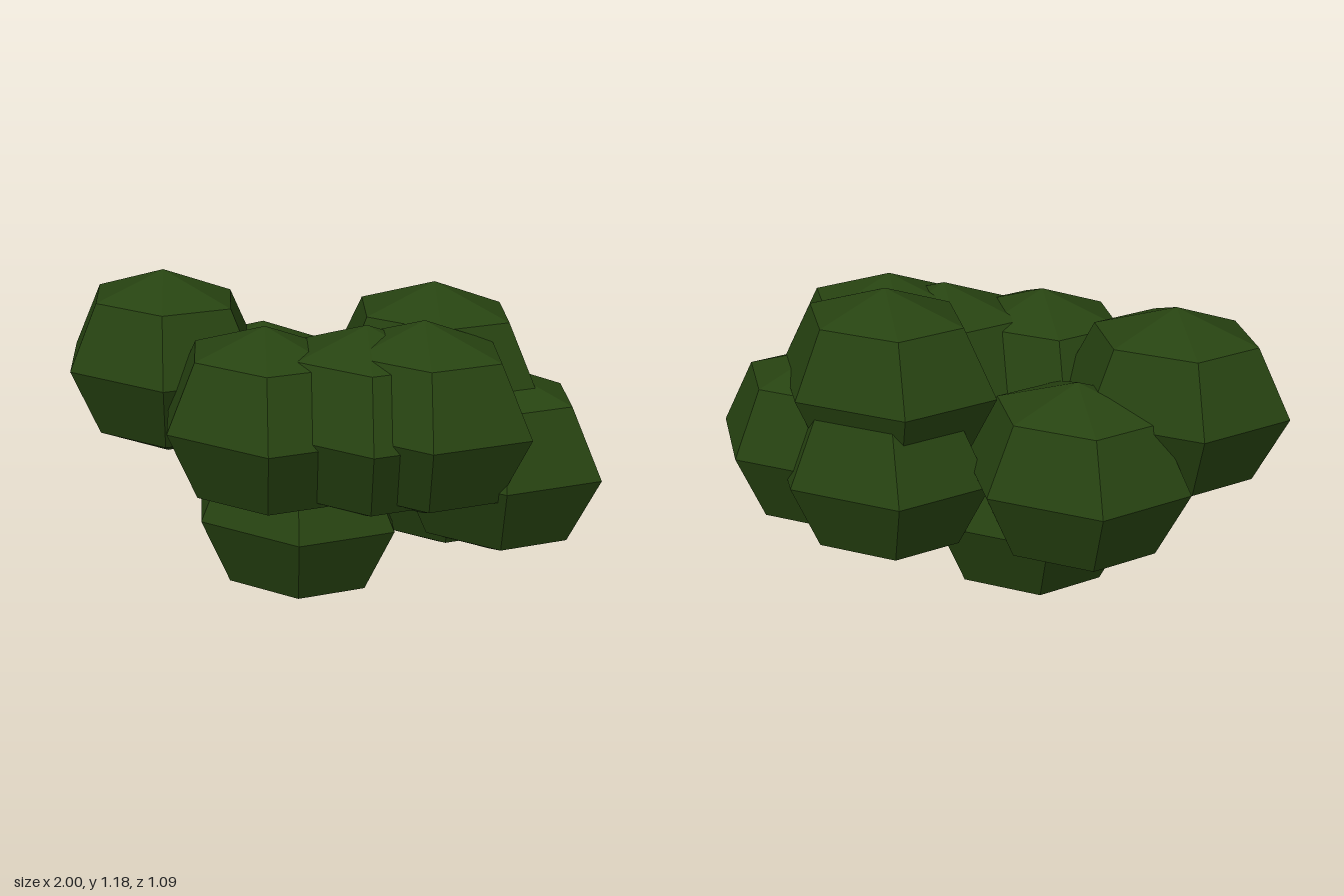
import * as THREE from 'three';

export function createModel() {
  const model = new THREE.Group();
  model.name = 'bush';

  const leafGreen = new THREE.MeshStandardMaterial({ color: 0x274311, flatShading: true });
  leafGreen.name = 'leafGreen';

  // one faceted leaf clump, six sides around and four bands high
  const clump = new THREE.SphereGeometry(1, 6, 4);
  clump.scale(0.41, 0.34, 0.33);

  // clump centres
  const clumps = {
    baseClump: [-0.067, 0.34, 0.04],
    leftBackClump: [0.345, 0.54, -0.26],
    leftOuterClump: [0.585, 0.585, -0.21],
    leftFrontClump: [0.46, 0.787, 0.063],
    topBackClump: [0.345, 0.84, -0.2],
    middleFrontClump: [0.278, 0.757, 0.127],
    frontClump: [-0.04, 0.735, 0.26],
    rightBackClump: [-0.34, 0.597, -0.165],
    rightOuterClump: [-0.59, 0.81, 0.09],
  };
  for (const [name, position] of Object.entries(clumps)) {
    const mesh = new THREE.Mesh(clump, leafGreen);
    mesh.name = name;
    mesh.position.set(...position);
    model.add(mesh);
  }
  return model;
}
